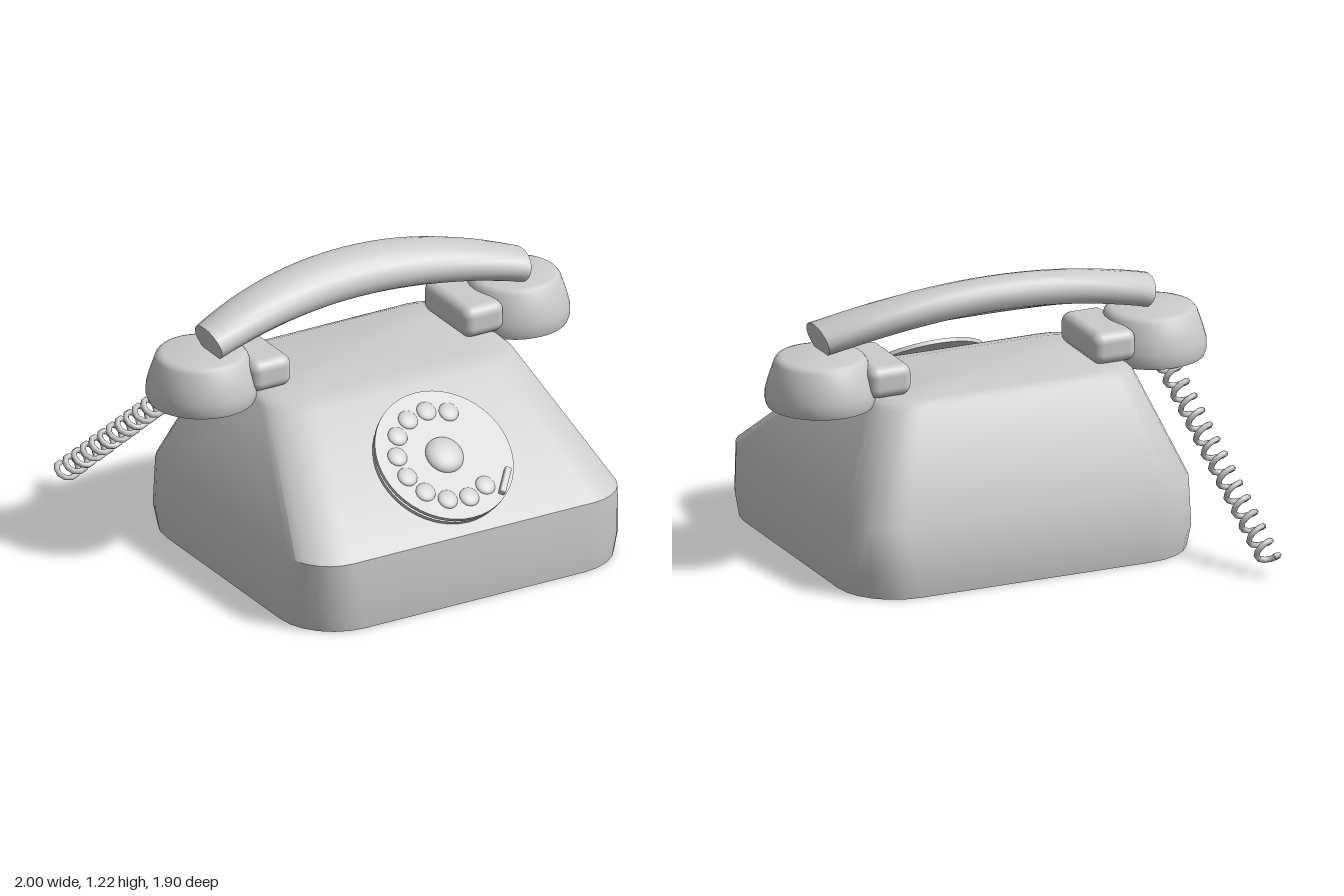
import * as THREE from 'three';
import { toCreasedNormals } from 'three/addons/utils/BufferGeometryUtils.js';
import { RoundedBoxGeometry } from 'three/addons/geometries/RoundedBoxGeometry.js';

const material = new THREE.MeshStandardMaterial({ color: 0xcccccc });

function add(parent, name, geometry, x = 0, y = 0, z = 0) {
  const mesh = new THREE.Mesh(geometry, material);
  mesh.name = name;
  mesh.position.set(x, y, z);
  parent.add(mesh);
  return mesh;
}

// Skin over closed rings of points, with a fan cap on both ends.
// Rings run counter-clockwise when seen from the far end.
function loft(rings, crease) {
  const n = rings[0].length;
  const points = rings.flat();
  const index = [];
  for (let i = 0; i < rings.length - 1; i++) {
    for (let j = 0; j < n; j++) {
      const a = i * n + j, b = i * n + (j + 1) % n;
      index.push(a, b, b + n, a, b + n, a + n);
    }
  }
  for (const last of [false, true]) {
    const ring = last ? rings[rings.length - 1] : rings[0];
    const start = last ? (rings.length - 1) * n : 0;
    const centre = new THREE.Vector3();
    ring.forEach((p) => centre.addScaledVector(p, 1 / n));
    const c = points.push(centre) - 1;
    for (let j = 0; j < n; j++) {
      const a = start + j, b = start + (j + 1) % n;
      index.push(c, last ? a : b, last ? b : a);
    }
  }
  const geometry = new THREE.BufferGeometry().setFromPoints(points);
  geometry.setIndex(index);
  return toCreasedNormals(geometry, crease);
}

// Horizontal rounded rectangle
function roundedRing(y, halfX, back, front, r, steps = 6) {
  const ring = [];
  const corners = [[1, front, 1], [1, back, -1], [-1, back, -1], [-1, front, 1]];
  corners.forEach(([sx, z, sz], k) => {
    for (let i = 0; i <= steps; i++) {
      const a = (k - 1 + i / steps) * Math.PI / 2;
      ring.push(new THREE.Vector3(
        sx * (halfX - r) + r * Math.cos(a), y, z - sz * r - r * Math.sin(a)));
    }
  });
  return ring;
}

// Arched handle: flat-bottomed oval sections that lean back in the middle
function handleGeometry() {
  const rings = [];
  const steps = 24, sides = 20;
  for (let i = 0; i <= steps; i++) {
    const t = i / steps * 2 - 1;
    const rise = 1 - t * t;
    const slope = Math.atan(-0.29 * t);
    const lean = 0.42 * rise;
    const w = 0.108 + 0.015 * rise, h = 0.072 + 0.014 * rise;
    const ring = [];
    for (let j = 0; j < sides; j++) {
      const a = j / sides * Math.PI * 2;
      const u = w * Math.cos(a);
      const v = h * Math.max(Math.sin(a), -0.8);
      const up = v * Math.cos(lean) + u * Math.sin(lean);
      const back = u * Math.cos(lean) - v * Math.sin(lean);
      ring.push(new THREE.Vector3(
        t * 0.757 - up * Math.sin(slope),
        1.012 + 0.11 * rise + up * Math.cos(slope),
        0.022 - 0.09 * rise - back));
    }
    rings.push(ring);
  }
  return loft(rings, 0.6);
}

// Coiled cord along a straight axis
class Coil extends THREE.Curve {
  constructor(from, to, radius, turns) {
    super();
    Object.assign(this, { from, to, radius, turns });
    const axis = to.clone().sub(from).normalize();
    this.u = new THREE.Vector3(1, 0, 0).cross(axis).normalize();
    this.v = axis.clone().cross(this.u);
  }
  getPoint(t, target = new THREE.Vector3()) {
    const a = t * this.turns * Math.PI * 2;
    return target.lerpVectors(this.from, this.to, t)
      .addScaledVector(this.u, this.radius * Math.cos(a))
      .addScaledVector(this.v, this.radius * Math.sin(a));
  }
}

export function createModel() {
  const model = new THREE.Group();
  model.name = 'telephone';

  // Body: vertical plinth, sloped front and a small flat top
  add(model, 'body', loft([
    roundedRing(0, 0.795, -0.52, 0.935, 0.26),
    roundedRing(0.1, 0.81, -0.535, 0.945, 0.26),
    roundedRing(0.31, 0.79, -0.505, 0.93, 0.2),
    roundedRing(0.755, 0.605, -0.325, 0.365, 0.17),
    roundedRing(0.775, 0.585, -0.31, 0.31, 0.17),
    roundedRing(0.79, 0.55, -0.27, 0.24, 0.16),
  ], 0.65));

  // Dial: its own frame has +y pointing out of the sloped front
  const dial = new THREE.Group();
  dial.name = 'dial';
  dial.position.set(0, 0.505, 0.64);
  dial.rotation.x = Math.PI / 2 - 0.9;
  dial.position.set(0, 0.53, 0.652);
  model.add(dial);
  add(dial, 'dialBase', new THREE.CylinderGeometry(0.3, 0.3, 0.018, 48), 0, 0.009, 0);
  add(dial, 'dialSpindle', new THREE.CylinderGeometry(0.07, 0.07, 0.09, 24), 0, 0.005, 0);
  add(dial, 'fingerWheel', new THREE.CylinderGeometry(0.308, 0.308, 0.018, 48), 0, 0.049, 0);
  const hub = add(dial, 'dialHub', new THREE.SphereGeometry(0.085, 28, 14), 0, 0.058, 0);
  hub.scale.y = 0.35;
  const dot = new THREE.SphereGeometry(0.044, 20, 10);
  for (let i = 0; i < 10; i++) {
    const a = THREE.MathUtils.degToRad(60 + 27 * i);
    const mesh = add(dial, 'fingerDot', dot, 0.214 * Math.cos(a), 0.058, -0.214 * Math.sin(a));
    mesh.scale.y = 0.3;
  }
  const stop = add(dial, 'fingerStop', new RoundedBoxGeometry(0.13, 0.035, 0.028, 2, 0.008),
    0.205, 0.07, 0.187);
  stop.rotation.y = 0.92;

  // Receiver cups and the cradle blocks between them
  const cupProfile = [[0, 0.745], [0.228, 0.745], [0.235, 0.765], [0.235, 0.81], [0.222, 0.86],
    [0.197, 0.935], [0.185, 0.95], [0.165, 0.956], [0, 0.96]]
    .map(([r, y]) => new THREE.Vector2(r, y));
  const cup = toCreasedNormals(new THREE.LatheGeometry(cupProfile, 40), 0.7);
  const cradle = new RoundedBoxGeometry(0.2, 0.14, 0.37, 4, 0.045);
  for (const side of [1, -1]) {
    const name = side > 0 ? 'left' : 'right';
    add(model, name + 'Cup', cup, side * 0.765, 0, -0.022);
    add(model, name + 'Cradle', cradle, side * 0.52, 0.855, -0.025);
  }
  add(model, 'handle', handleGeometry());

  // Cord hanging from the right cup down behind the body
  const coil = new Coil(new THREE.Vector3(-0.77, 0.755, -0.15),
    new THREE.Vector3(-0.91, 0.07, -0.91), 0.042, 14);
  add(model, 'cord', new THREE.TubeGeometry(coil, 14 * 10, 0.013, 6, false));

  return model;
}
